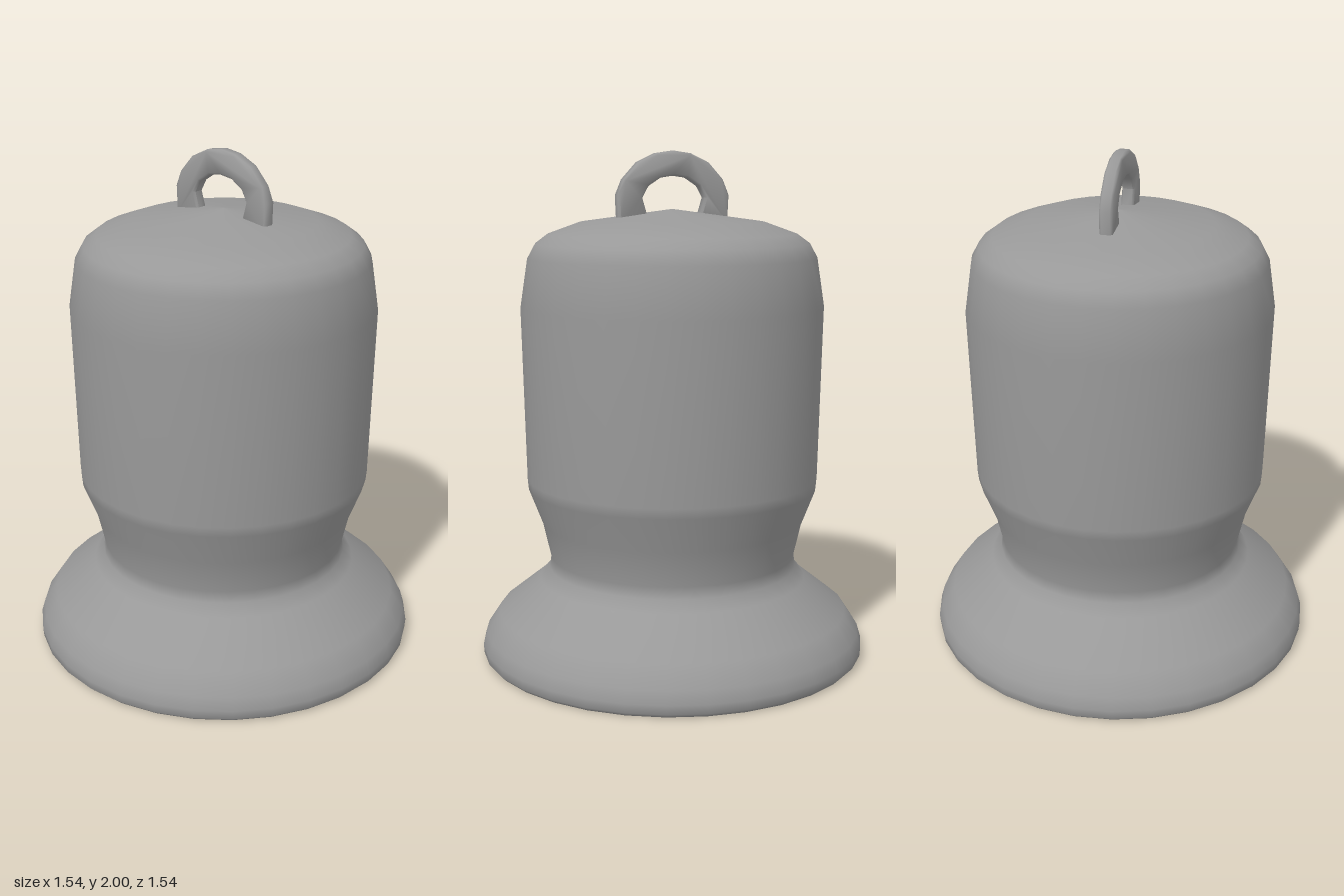
import * as THREE from 'three';
import { toCreasedNormals } from 'three/addons/utils/BufferGeometryUtils.js';

const material = new THREE.MeshStandardMaterial({ color: 0x999999 });
const toPoints = (pairs) => pairs.map(([a, b]) => new THREE.Vector2(a, b));

// Hollow bell: down the inside, round the lip, up the outside to the crown
function createBell() {
  const inside = [
    [0, 1.7], [0.33, 1.66], [0.45, 1.61], [0.5, 1.54], [0.53, 1.39],
    [0.515, 0.73], [0.45, 0.54], [0.425, 0.4], [0.43, 0.34], [0.48, 0.27],
    [0.62, 0.16], [0.66, 0.1], [0.662, 0.055],
  ];
  const lip = [[0.68, 0.022], [0.715, 0.004], [0.75, 0], [0.765, 0.015]];
  const outside = [
    [0.768, 0.05], [0.753, 0.1], [0.7, 0.18], [0.535, 0.31], [0.497, 0.355],
    [0.49, 0.4], [0.522, 0.54], [0.576, 0.68], [0.58, 0.72], [0.596, 1.4],
    [0.567, 1.59], [0.537, 1.645], [0.487, 1.682], [0.36, 1.728], [0, 1.777],
  ];
  const profile = toPoints([...inside, ...lip, ...outside]);
  const bell = new THREE.Mesh(new THREE.LatheGeometry(profile, 32), material);
  bell.name = 'bell';
  return bell;
}

// Arched hanging loop with softened edges, mirrored from half outlines
function createLoop() {
  const outer = [[0.225, 1.72], [0.23, 1.83], [0.205, 1.89], [0.145, 1.955], [0.07, 1.99]];
  const inner = [[0.1, 1.72], [0.13, 1.82], [0.105, 1.865], [0.055, 1.897]];
  const mirror = (half) => half.map(([u, v]) => [-u, v]);
  const outline = [
    ...outer, [0, 2], ...mirror(outer).reverse(),
    ...mirror(inner), [0, 1.905], ...inner.slice().reverse(),
  ];
  const bevel = 0.008;
  const depth = 0.05 - 2 * bevel;
  const geometry = new THREE.ExtrudeGeometry(new THREE.Shape(toPoints(outline)), {
    depth, bevelThickness: bevel, bevelSize: bevel, bevelOffset: -bevel, bevelSegments: 1,
  });
  geometry.translate(0, 0, -depth / 2).rotateY(Math.PI / 2);
  const loop = new THREE.Mesh(toCreasedNormals(geometry, 0.9), material);
  loop.name = 'hangingLoop';
  return loop;
}

export function createModel() {
  const model = new THREE.Group();
  model.name = 'handBell';
  model.add(createBell(), createLoop());
  return model;
}
